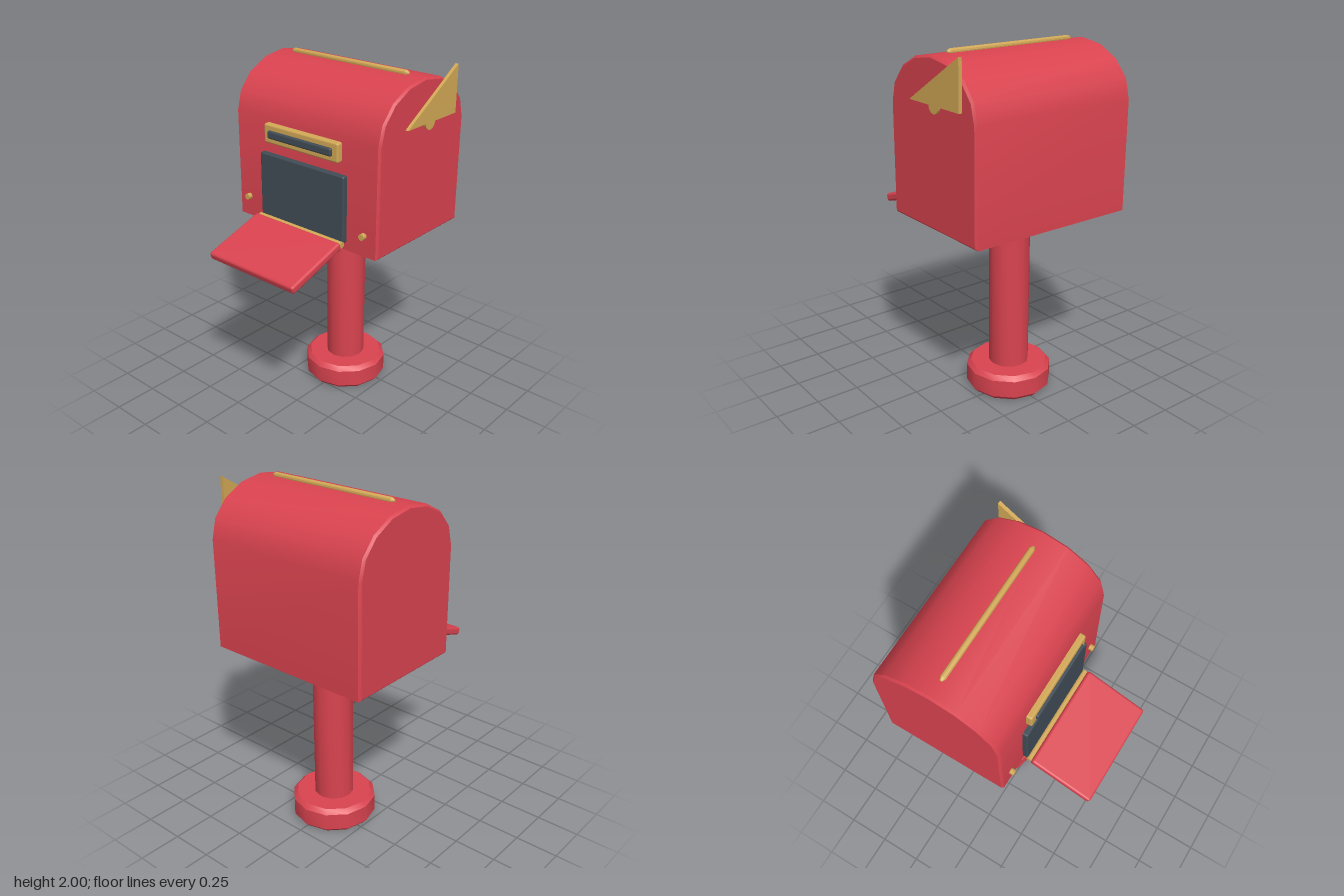
import * as THREE from 'three';
import { toCreasedNormals } from 'three/addons/utils/BufferGeometryUtils.js';
import { RoundedBoxGeometry } from 'three/addons/geometries/RoundedBoxGeometry.js';

const CX = -0.01, CZ = -0.213; // axis of post and body

export function createModel() {
  const group = new THREE.Group();
  group.name = 'mailbox';
  const paint = (name, color) => {
    const m = new THREE.MeshStandardMaterial({ color });
    m.name = name;
    return m;
  };
  const red = paint('red paint', 0xd9434f);
  const gold = paint('gold trim', 0xd2a856);
  const dark = paint('dark slate', 0x414c56);

  const add = (name, geo, mat, x = 0, y = 0, z = 0, parent = group) => {
    const mesh = new THREE.Mesh(geo, mat);
    mesh.name = name;
    mesh.position.set(x, y, z);
    parent.add(mesh);
    return mesh;
  };
  const box = (w, h, d, r) => new RoundedBoxGeometry(w, h, d, 2, r);

  // Upright turned part from [radius, y] points
  const turned = (points) => toCreasedNormals(
    new THREE.LatheGeometry(points.map(([r, y]) => new THREE.Vector2(r, y)), 12), 0.6);

  // Side outline given as [z, y], extruded to a total width along x
  const sideExtrude = (points, width, bevel) => {
    const shape = new THREE.Shape(points.map(([z, y]) => new THREE.Vector2(z, y)));
    const depth = width - 2 * bevel;
    const geo = new THREE.ExtrudeGeometry(shape, {
      depth, bevelEnabled: bevel > 0, bevelThickness: bevel,
      bevelSize: bevel, bevelOffset: -bevel, bevelSegments: 1,
    });
    geo.translate(0, 0, -depth / 2);
    geo.rotateY(-Math.PI / 2);
    return toCreasedNormals(geo, 0.6);
  };

  // Base, post and collar
  add('base', turned([[0, 0.005], [0.22, 0.005], [0.245, 0.03], [0.245, 0.13], [0.22, 0.155], [0, 0.155]]),
    red, CX, 0, CZ);
  add('post', turned([[0, 0.14], [0.115, 0.14], [0.115, 1.0], [0, 1.0]]), red, CX, 0, CZ);
  const collar = new THREE.CylinderGeometry(0.174, 0.174, 0.085, 12).toNonIndexed();
  collar.computeVertexNormals();
  add('collar', collar, gold, CX, 1.0325, CZ);

  // Body with arched roof
  const outline = [[-0.37, 1.07], [0.37, 1.07]];
  for (let i = 0; i <= 8; i++) {
    const a = (i / 8) * Math.PI;
    outline.push([0.37 * Math.cos(a), 1.69 + 0.285 * Math.sin(a)]);
  }
  add('body', sideExtrude(outline, 1.02, 0.012), red, CX, 0, -0.215);

  // Roof ridge with tapered ends
  const ridge = turned([[0, -0.4075], [0.007, -0.4075], [0.016, -0.39], [0.016, 0.39], [0.007, 0.4075], [0, 0.4075]]);
  ridge.rotateZ(Math.PI / 2);
  add('roofRidge', ridge, gold, -0.0125, 1.979, -0.21);

  // Letter slot
  add('slotFrame', box(0.53, 0.11, 0.05, 0.012), gold, CX, 1.615, 0.163);
  add('letterSlot', box(0.455, 0.045, 0.03, 0.01), dark, CX, 1.615, 0.188);

  // Door opening and hinge
  add('doorOpening', box(0.605, 0.38, 0.04, 0.01), dark, CX, 1.306, 0.165);
  add('doorHinge', new THREE.CylinderGeometry(0.018, 0.018, 0.61, 10).rotateZ(Math.PI / 2),
    gold, CX, 1.115, 0.195);

  // Open door with its pull on the outer face
  const door = new THREE.Group();
  door.name = 'door';
  door.position.set(CX, 1.056, 0.397);
  door.rotation.x = 0.314;
  group.add(door);
  add('doorPanel', box(0.625, 0.048, 0.395, 0.015), red, 0, 0, 0, door);
  add('doorPull', box(0.09, 0.022, 0.03, 0.006), gold, 0, -0.026, 0, door);

  // Front studs
  for (const side of [-1, 1]) {
    add('frontStud', new THREE.CylinderGeometry(0.018, 0.018, 0.03, 10).rotateX(Math.PI / 2),
      gold, -0.0125 + side * 0.4225, 1.19, 0.166);
  }

  // Flag on the left side with round pivot
  add('flag', sideExtrude([[-0.05, 1.735], [-0.478, 2.0], [-0.478, 1.735]].reverse(), 0.02, 0),
    gold, 0.509, 0, 0);
  add('flagPivot', new THREE.CylinderGeometry(0.044, 0.044, 0.022, 12).rotateZ(Math.PI / 2),
    gold, 0.501, 1.735, -0.255);

  return group;
}
